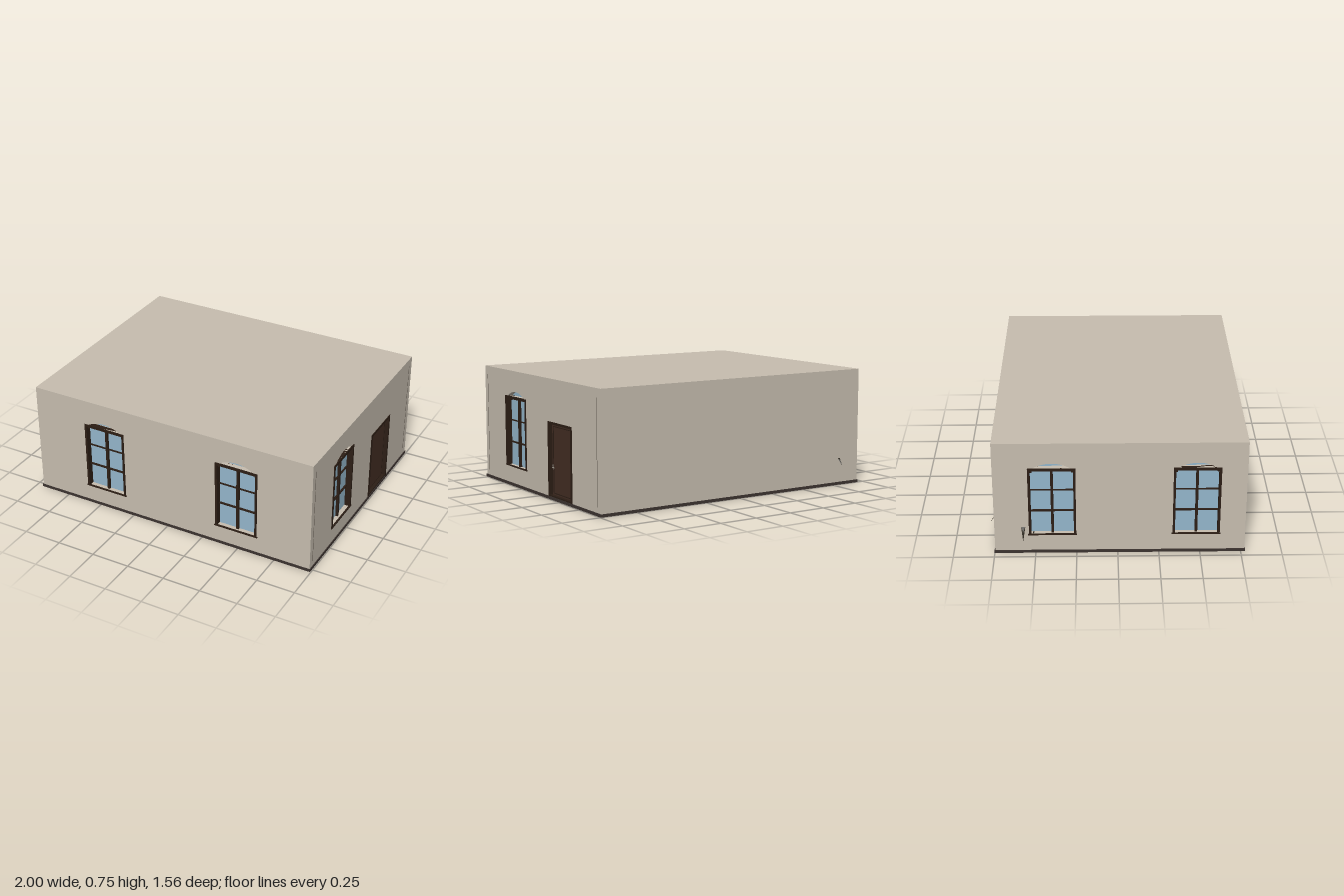
import * as THREE from 'three';

const mat = (name, color, side = THREE.FrontSide) => {
  const m = new THREE.MeshStandardMaterial({ color, side });
  m.name = name;
  return m;
};
const M = {
  wall: mat('plaster', 0xc6bdaf),
  glass: mat('window glass', 0x94b6cb),
  frame: mat('dark wood', 0x2c1e15),
  door: mat('door wood', 0x432d23),
  base: mat('base', 0x3c3330),
  seam: mat('corner seam', 0x6f675d),
  metal: mat('handle metal', 0x9a948a),
  leaf: mat('leaf', 0x2f2a20, THREE.DoubleSide),
};

// Outer limits of the building
const X0 = -0.95, X1 = 0.99, Z0 = -0.747, Z1 = 0.773, H = 0.75;
const CX = (X0 + X1) / 2, CZ = (Z0 + Z1) / 2, T = 0.045;

function add(parent, name, geometry, material, x = 0, y = 0, z = 0) {
  const mesh = new THREE.Mesh(geometry, material);
  mesh.name = name;
  mesh.position.set(x, y, z);
  parent.add(mesh);
  return mesh;
}

// Box given by its limits on each axis
function box(parent, name, material, x0, x1, y0, y1, z0, z1) {
  return add(parent, name, new THREE.BoxGeometry(x1 - x0, y1 - y0, z1 - z0), material,
    (x0 + x1) / 2, (y0 + y1) / 2, (z0 + z1) / 2);
}

// Window opening: rectangle with a shallow arch on top
const HW = 0.14, Y0 = 0.13, Y1 = 0.583, CHORD = 0.115, RISE = 0.033;
function windowHole(cx) {
  const r = (CHORD * CHORD + RISE * RISE) / (2 * RISE), a = Math.asin(CHORD / r);
  const p = new THREE.Path();
  p.moveTo(cx - HW, Y0);
  p.lineTo(cx + HW, Y0);
  p.lineTo(cx + HW, Y1);
  p.lineTo(cx + CHORD, Y1);
  p.absarc(cx, Y1 + RISE - r, r, Math.PI / 2 - a, Math.PI / 2 + a, false);
  p.lineTo(cx - HW, Y1);
  p.closePath();
  return p;
}

function makeWindow(cx) {
  const g = new THREE.Group();
  g.name = 'window';
  g.position.x = cx;
  box(g, 'glass', M.glass, -HW, HW, Y0, Y1 + RISE, -0.04, -0.034);
  box(g, 'archLedge', M.wall, -HW, HW, Y1 - 0.006, Y1 + 0.001, -0.034, -0.002);
  for (const s of [-1, 1]) {
    box(g, 'frameSide', M.frame, s * 0.136 - 0.007, s * 0.136 + 0.007, Y0, Y1, -0.034, 0.005);
    box(g, 'frameCorner', M.frame, s * 0.125 - 0.007, s * 0.125 + 0.007, 0.55, Y1 - 0.008, -0.034, -0.01);
  }
  box(g, 'frameTop', M.frame, -0.143, 0.143, Y1 - 0.016, Y1 + 0.001, -0.03, 0.005);
  box(g, 'sill', M.frame, -0.148, 0.148, Y0 - 0.004, Y0 + 0.003, -0.004, 0.007);
  box(g, 'mullion', M.frame, -0.008, 0.008, Y0, Y1 - 0.01, -0.034, -0.018);
  box(g, 'upperBar', M.frame, -HW, HW, 0.42, 0.426, -0.034, -0.024);
  box(g, 'lowerBar', M.frame, -HW, HW, 0.277, 0.285, -0.034, -0.022);
  return g;
}

// Door, 0.30 wide
const DW = 0.15, DY0 = 0.015, DY1 = 0.485;
function makeDoor(cx) {
  const g = new THREE.Group();
  g.name = 'door';
  g.position.x = cx;
  box(g, 'doorLeaf', M.door, -DW, DW, DY0, DY1, -0.035, -0.02);
  for (const s of [-1, 1]) {
    box(g, 'doorJamb', M.frame, s * 0.142 - 0.008, s * 0.142 + 0.008, DY0, DY1, -0.03, 0.004);
    box(g, 'panelSide', M.frame, s * 0.116 - 0.002, s * 0.116 + 0.002, 0.04, 0.455, -0.021, -0.016);
  }
  box(g, 'doorHead', M.frame, -DW, DW, DY1 - 0.015, DY1, -0.03, 0.004);
  for (const y of [0.036, 0.452]) {
    box(g, 'panelEdge', M.frame, -0.116, 0.116, y, y + 0.005, -0.021, -0.016);
  }
  box(g, 'threshold', M.frame, -DW, DW, DY0, DY0 + 0.012, -0.03, 0.001);
  box(g, 'handlePlate', M.metal, -0.126, -0.119, 0.185, 0.215, -0.021, -0.016);
  box(g, 'handle', M.metal, -0.125, -0.098, 0.197, 0.202, -0.014, -0.009);
  return g;
}

// Wall in its own frame: x along the wall, z outwards
function makeWall(name, width, windows, doors) {
  const g = new THREE.Group();
  g.name = name;
  const s = new THREE.Shape();
  const h = width / 2;
  s.moveTo(-h, 0.015);
  s.lineTo(h, 0.015);
  s.lineTo(h, H - 0.012);
  s.lineTo(-h, H - 0.012);
  s.closePath();
  for (const x of windows) {
    s.holes.push(windowHole(x));
    g.add(makeWindow(x));
  }
  for (const x of doors) {
    const p = new THREE.Path();
    p.moveTo(x - DW, DY0 + 0.002);
    p.lineTo(x + DW, DY0 + 0.002);
    p.lineTo(x + DW, DY1);
    p.lineTo(x - DW, DY1);
    p.closePath();
    s.holes.push(p);
    g.add(makeDoor(x));
  }
  const geo = new THREE.ExtrudeGeometry(s, { depth: T, bevelEnabled: false, curveSegments: 16 });
  add(g, 'wallPanel', geo, M.wall, 0, 0, -T);
  return g;
}

// Pointed leaf: a flat three-sided spike between two points
function leaf(parent, from, to, across) {
  const a = new THREE.Vector3(...from), b = new THREE.Vector3(...to);
  const w = new THREE.Vector3(...across);
  const mid = a.clone().lerp(b, 0.5).add(new THREE.Vector3(0, 0.008, 0));
  const geo = new THREE.BufferGeometry().setFromPoints([
    a.clone().add(w), mid, b, mid, a.clone().sub(w), b, a.clone().sub(w), mid, a.clone().add(w),
  ]);
  geo.computeVertexNormals();
  add(parent, 'leaf', geo, M.leaf);
}

export function createModel() {
  const model = new THREE.Group();
  model.name = 'room';

  // Roof and base slab
  box(model, 'roof', M.wall, X0, X1, H - 0.012, H, Z0, Z1);
  box(model, 'baseSlab', M.base, X0 - 0.005, X1 + 0.005, 0, 0.018, Z0 - 0.004, Z1 + 0.004);

  // Four walls
  const W = X1 - X0, D = Z1 - Z0;
  const front = makeWall('frontWall', W, [-0.447 - CX, 0.487 - CX], []);
  front.position.set(CX, 0, Z1);
  const back = makeWall('backWall', W, [], []);
  back.position.set(CX, 0, Z0);
  back.rotation.y = Math.PI;
  const right = makeWall('leftWall', D, [CZ - 0.33], [CZ + 0.255]);
  right.position.set(X1, 0, CZ);
  right.rotation.y = Math.PI / 2;
  const left = makeWall('rightWall', D, [-0.395 - CZ, 0.475 - CZ], []);
  left.position.set(X0, 0, CZ);
  left.rotation.y = -Math.PI / 2;
  model.add(front, back, right, left);

  // Thin upright seams near the corners of the door wall
  for (const z of [0.735, -0.703]) {
    box(model, 'cornerSeam', M.seam, X1 - 0.002, X1 + 0.001, 0.05, 0.695, z - 0.002, z + 0.002);
  }

  // Leaf tips that poke out through the walls
  leaf(model, [X0 + 0.005, 0.185, -0.572], [-1.0, 0.11, -0.572], [0, 0, 0.014]);
  leaf(model, [X0 + 0.002, 0.15, -0.51], [X0 - 0.006, 0.125, -0.51], [0, 0, 0.005]);
  leaf(model, [-0.795, 0.18, Z0 + 0.005], [-0.797, 0.13, -0.78], [0.01, 0, 0]);
  return model;
}
